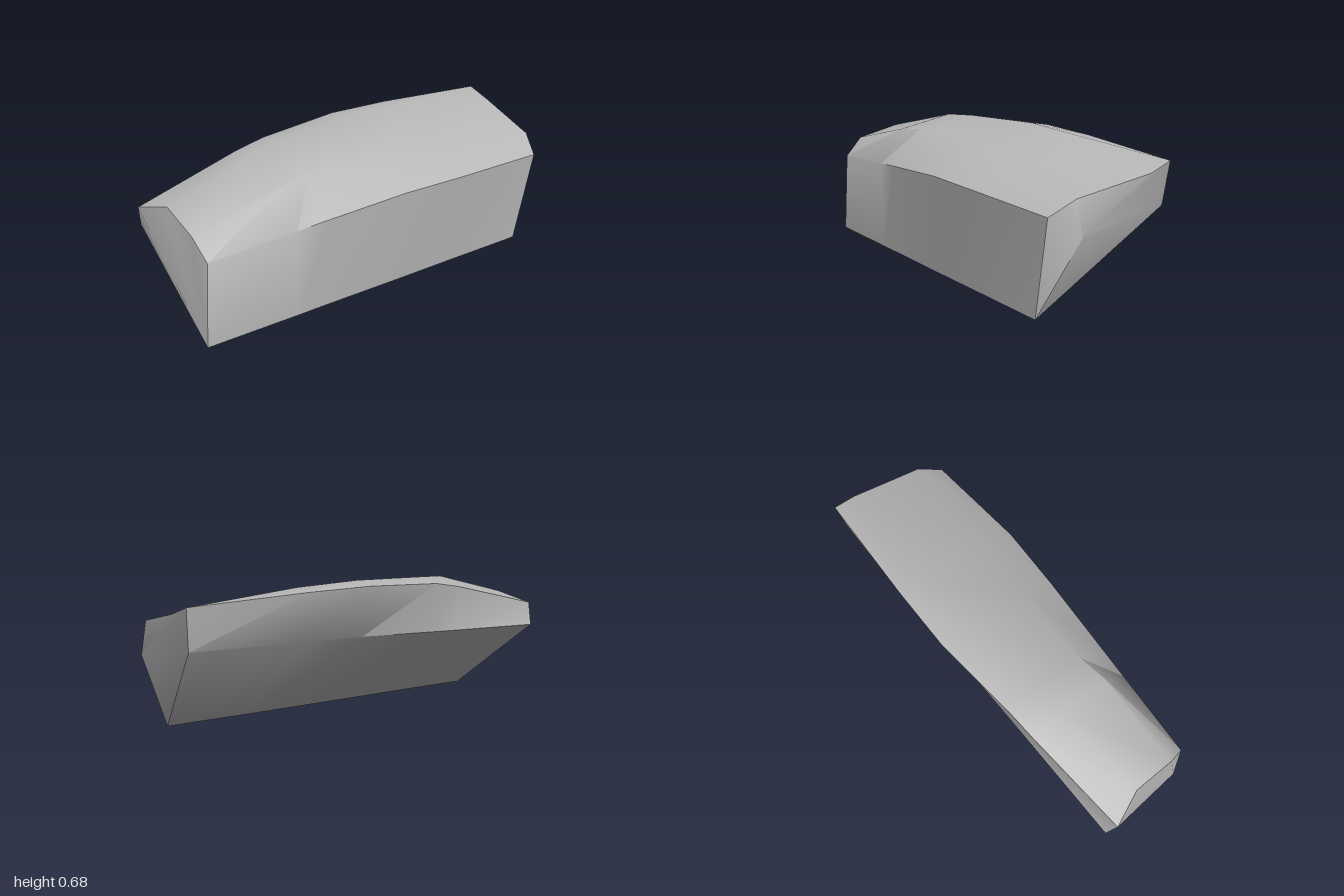
import * as THREE from 'three';
import { toCreasedNormals } from 'three/addons/utils/BufferGeometryUtils.js';

export function createModel() {
  const model = new THREE.Group();
  model.name = 'stoneBlock';

  const stone = new THREE.MeshStandardMaterial({ color: 0xb8b8b8 });
  stone.name = 'stone grey';

  // Cross-sections from -x to +x; each runs: bottom front, front edge,
  // shoulder, crown, back top, back bottom.
  const at = (x, ...yz) => yz.map(([y, z]) => [x, y, z]);
  const sections = [
    [[-0.93, 0.005, 0.3], [-0.9, 0.41, 0.292], [-0.92, 0.5, 0.2],
      [-0.93, 0.55, -0.02], [-1, 0.5, -0.18], [-0.98, 0.39, -0.22]],
    at(-0.47, [0.004, 0.293], [0.44, 0.302], [0.605, 0.18], [0.66, -0.1], [0.62, -0.25], [0.405, -0.235]),
    at(-0.32, [0.003, 0.288], [0.45, 0.306], [0.622, 0.15], [0.668, -0.15], [0.645, -0.265], [0.41, -0.24]),
    at(0.1, [0.001, 0.28], [0.475, 0.317], [0.6, 0.15], [0.68, -0.21], [0.662, -0.316], [0.425, -0.255]),
    at(0.42, [0, 0.272], [0.475, 0.322], [0.575, 0.15], [0.668, -0.22], [0.655, -0.318], [0.43, -0.265]),
    [[0.84, 0, 0.265], [0.93, 0.45, 0.275], [0.97, 0.52, 0.165],
      [1, 0.59, -0.19], [0.985, 0.628, -0.303], [0.97, 0.44, -0.28]],
  ];
  const n = sections[0].length;
  const last = sections.length - 1;
  const positions = sections.flat(2);
  const index = [];
  const id = (i, j) => i * n + (j % n);

  // Walls, top and sloping underside
  for (let i = 0; i < last; i++) {
    for (let j = 0; j < n; j++) {
      const a = id(i, j), b = id(i + 1, j), c = id(i + 1, j + 1), d = id(i, j + 1);
      index.push(a, b, c, a, c, d);
    }
  }

  // Flat end at -x
  for (let j = 1; j < n - 1; j++) index.push(0, j, j + 1);

  // Chipped end at +x, fanned around its protruding corner
  const tip = positions.length / 3;
  positions.push(1, 0.37, 0.153);
  for (let j = 0; j < n; j++) index.push(tip, id(last, j + 1), id(last, j));

  const geometry = new THREE.BufferGeometry();
  geometry.setAttribute('position', new THREE.Float32BufferAttribute(positions, 3));
  geometry.setIndex(index);

  const rock = new THREE.Mesh(toCreasedNormals(geometry, 0.7), stone);
  rock.name = 'rock';
  model.add(rock);
  return model;
}
